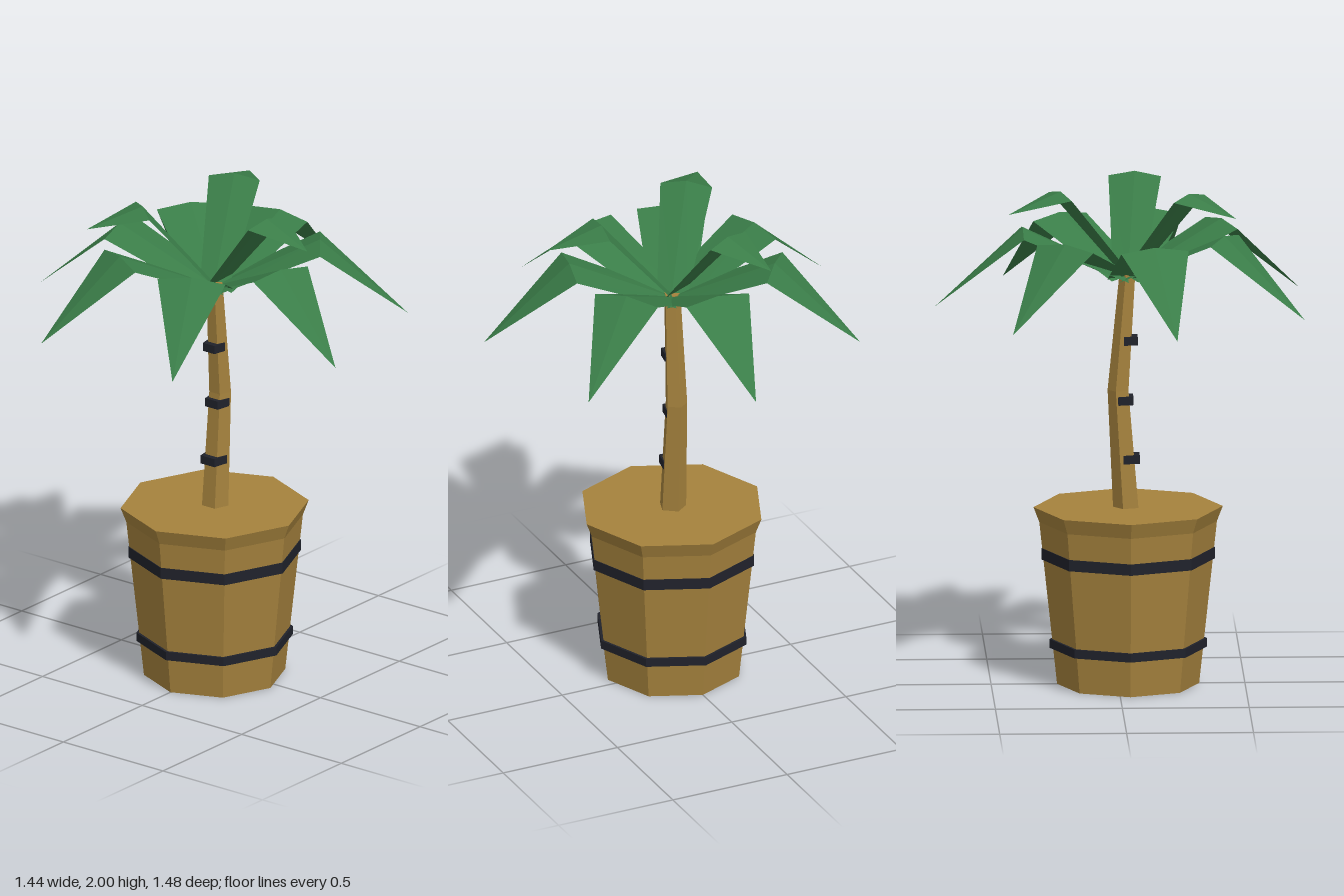
import * as THREE from 'three';

export function createModel() {
  const CX = -0.04; // pot and crown share this off-centre axis
  const model = new THREE.Group();
  model.name = 'pottedPalm';

  const material = (name, color, extra = {}) =>
    Object.assign(new THREE.MeshStandardMaterial({ color, flatShading: true, ...extra }), { name });
  const wood = material('wood brown', 0xa5823d);
  const iron = material('band black', 0x20222b);
  const green = material('leaf green', 0x3a7d48, { side: THREE.DoubleSide });

  const add = (name, geometry, mat, parent = model) => {
    const mesh = new THREE.Mesh(geometry, mat);
    mesh.name = name;
    parent.add(mesh);
    return mesh;
  };
  const lathe = (profile, sides, start = 0) =>
    new THREE.LatheGeometry(profile.map(([r, y]) => new THREE.Vector2(r, y)), sides, start);

  // Eight-sided tub with a flared lip and flat soil top
  const tub = [[0, 0], [0.28, 0], [0.35, 0.65], [0.373, 0.71], [0, 0.71]];
  add('pot', lathe(tub, 8), wood).position.x = CX;

  // Tub hoops
  for (const [y0, y1, r] of [[0.145, 0.18, 0.31], [0.5, 0.545, 0.342]]) {
    const hoop = [[r - 0.04, y0], [r, y0], [r, y1], [r - 0.04, y1]];
    add('potBand', lathe(hoop, 8), iron).position.x = CX;
  }

  // Five-sided trunk, bent by moving each ring sideways
  const bend = (y) => (y < 1.18
    ? THREE.MathUtils.mapLinear(y, 0.7, 1.18, -0.036, -0.004)
    : THREE.MathUtils.mapLinear(y, 1.18, 1.65, -0.004, -0.04));
  const trunk = lathe([[0, 0.7], [0.055, 0.7], [0.045, 1.18], [0.034, 1.65], [0, 1.65]], 5, Math.PI / 2);
  const p = trunk.attributes.position;
  for (let i = 0; i < p.count; i++) p.setX(i, p.getX(i) + bend(p.getY(i)));
  add('trunk', trunk, wood);

  // Bands clasping the -x side of the trunk
  for (const [y, x0, x1, w] of [[0.905, -0.085, -0.02, 0.046], [1.14, -0.06, 0.002, 0.042], [1.38, -0.077, -0.023, 0.039]]) {
    const outline = new THREE.Shape([[x0, -w * 0.75], [x1, -w], [x1, w], [x0, w * 0.75]]
      .map(([x, z]) => new THREE.Vector2(x, z)));
    const band = new THREE.ExtrudeGeometry(outline, { depth: 0.034, bevelEnabled: false });
    band.rotateX(-Math.PI / 2);
    add('trunkBand', band, iron).position.y = y - 0.017;
  }

  // Folded leaf along +x: base section, bent shoulder section, pointed tip
  function leafGeometry({ baseW, baseY, midR, midW, midY, tipR, tipY, fold }) {
    const geometry = new THREE.BufferGeometry();
    geometry.setAttribute('position', new THREE.Float32BufferAttribute([
      0, baseY, -baseW, 0, baseY + fold * 0.5, 0, 0, baseY, baseW,
      midR, midY - fold, -midW, midR, midY, 0, midR, midY - fold, midW,
      tipR, tipY, 0,
    ], 3));
    geometry.setIndex([0, 1, 3, 1, 4, 3, 1, 2, 4, 2, 5, 4, 3, 4, 6, 4, 5, 6]);
    geometry.computeVertexNormals();
    return geometry;
  }

  // Leaves spaced evenly around the trunk top
  function leafRing(name, count, startDegrees, shape) {
    const ring = new THREE.Group();
    ring.name = name + 'Ring';
    ring.position.x = CX;
    model.add(ring);
    const geometry = leafGeometry(shape);
    for (let i = 0; i < count; i++) {
      add(name, geometry, green, ring).rotation.y =
        -THREE.MathUtils.degToRad(startDegrees) - (i / count) * Math.PI * 2;
    }
  }
  leafRing('lowerLeaf', 7, 0, {
    baseW: 0.085, baseY: 1.625, midR: 0.415, midW: 0.137, midY: 1.83, tipR: 0.76, tipY: 1.52, fold: 0.02,
  });
  leafRing('upperLeaf', 3, 97, {
    baseW: 0.06, baseY: 1.635, midR: 0.293, midW: 0.104, midY: 2, tipR: 0.52, tipY: 1.925, fold: 0.02,
  });

  return model;
}
